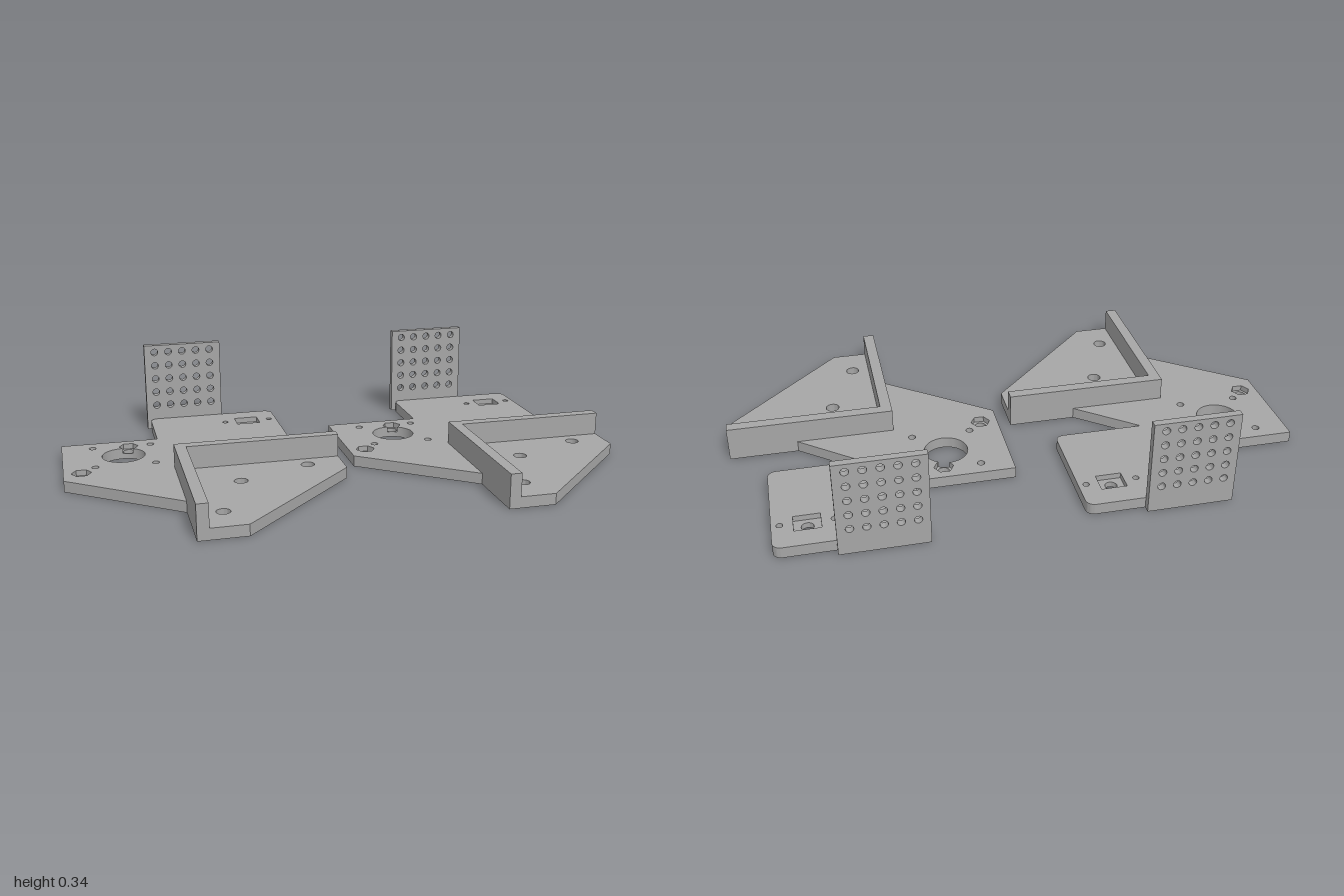
import * as THREE from 'three';
import { toCreasedNormals } from 'three/addons/utils/BufferGeometryUtils.js';

const grey = new THREE.MeshStandardMaterial({ color: 0xa6a6a6 });
grey.name = 'grey';

const THICK = 0.04, FLOOR = 0.02, WALL_TOP = 0.123;
const circle = (x, z, r) => new THREE.Path().absarc(x, z, r, 0, Math.PI * 2, false);
const poly = (pts) => new THREE.Shape(pts.map(([x, z]) => new THREE.Vector2(x, z)));
const hexPoint = (x, z, r, k) => [x + r * Math.cos(k * Math.PI / 3), z + r * Math.sin(k * Math.PI / 3)];
const hexagon = (x, z, r) => poly([0, 1, 2, 3, 4, 5].map((k) => hexPoint(x, z, r, k)));

function extrude(shape, depth) {
  return new THREE.ExtrudeGeometry(shape, { depth, bevelEnabled: false, curveSegments: 24 });
}

// Extrudes a plan shape drawn in (x, z) between two heights
function slab(name, shape, y0, y1) {
  const geo = extrude(shape, y1 - y0).rotateX(Math.PI / 2).translate(0, y1, 0);
  const mesh = new THREE.Mesh(toCreasedNormals(geo, 0.5), grey);
  mesh.name = name;
  return mesh;
}

function createBracket() {
  const bracket = new THREE.Group();

  // Base plate outline with three rounded corners
  const r = 0.03;
  const base = new THREE.Shape();
  base.moveTo(-1, -0.315);
  base.lineTo(-0.645, -0.315);
  base.absarc(-0.645 + r, -0.577 + r, r, Math.PI, Math.PI * 1.5, false);
  base.absarc(-0.155 - r, -0.577 + r, r, -Math.PI / 2, 0, false);
  base.absarc(-0.155 - r, -0.155 - r, r, 0, Math.PI / 2, false);
  base.lineTo(-0.48, -0.155);
  base.lineTo(-0.27, 0.013);
  base.lineTo(-0.028, 0.013);
  base.lineTo(-0.028, 0.178);
  base.lineTo(-0.452, 0.602);
  base.lineTo(-0.617, 0.602);
  base.lineTo(-0.617, 0.36);
  base.lineTo(-1, 0.067);
  base.closePath();

  // Plain screw holes
  for (const x of [-0.888, -0.676])
    for (const z of [-0.26, -0.048]) base.holes.push(circle(x, z, 0.013));
  for (const x of [-0.36, -0.183]) base.holes.push(circle(x, -0.462, 0.011));
  for (const [x, z] of [[-0.155, 0.112], [-0.413, 0.217], [-0.515, 0.477]])
    base.holes.push(circle(x, z, 0.024));

  // Large bore merging with the nut pocket beside it
  const [cx, cz, cr] = [-0.782, -0.155, 0.0775];
  const [hx, hz, hr] = [-0.757, -0.253, 0.035];
  const a0 = -1.0625, a1 = -1.5467;
  const outerPoints = [3, 4, 5, 6, 7].map((k) => hexPoint(hx, hz, hr, k));
  const bore = new THREE.Path().absarc(cx, cz, cr, a0, a1 + Math.PI * 2, false);
  for (const p of outerPoints) bore.lineTo(...p);
  bore.closePath();
  base.holes.push(bore);

  const boreFloor = new THREE.Shape();
  boreFloor.moveTo(...outerPoints[0]);
  for (const p of outerPoints.slice(1)) boreFloor.lineTo(...p);
  boreFloor.absarc(cx, cz, cr, a0, a1, true);
  boreFloor.closePath();
  boreFloor.holes.push(circle(hx, hz, 0.021));

  // Second nut pocket and the rectangular pocket
  const nut = hexagon(-0.938, 0, hr);
  const rect = poly([[-0.317, -0.5], [-0.227, -0.5], [-0.227, -0.424], [-0.317, -0.424]]);
  for (const pocket of [nut, rect]) base.holes.push(new THREE.Path(pocket.getPoints()));
  nut.holes.push(circle(-0.938, 0, 0.021));
  rect.holes.push(circle(-0.272, -0.462, 0.021));

  bracket.add(
    slab('basePlate', base, 0, THICK),
    slab('innerNutPocketFloor', boreFloor, 0, FLOOR),
    slab('outerNutPocketFloor', nut, 0, FLOOR),
    slab('squarePocketFloor', rect, 0, FLOOR)
  );

  // L-shaped raised wall
  bracket.add(slab('cornerWall', poly([
    [-0.617, 0.013], [-0.028, 0.013], [-0.028, 0.053],
    [-0.577, 0.053], [-0.577, 0.602], [-0.617, 0.602],
  ]), THICK, WALL_TOP));

  // Upright plate with a grid of holes
  const upright = poly([[-0.657, 0], [-0.357, 0], [-0.357, 0.343], [-0.657, 0.343]]);
  for (let i = 0; i < 5; i++)
    for (let j = 0; j < 5; j++)
      upright.holes.push(circle(-0.617 + i * 0.0545, 0.097 + j * 0.0545, 0.0135));
  const plate = new THREE.Mesh(toCreasedNormals(extrude(upright, 0.026).translate(0, 0, -0.602), 0.5), grey);
  plate.name = 'perforatedPlate';
  bracket.add(plate);
  return bracket;
}

export function createModel() {
  const model = new THREE.Group();
  model.name = 'bracketPair';
  const right = createBracket();
  right.name = 'rightBracket';
  const left = right.clone();
  left.name = 'leftBracket';
  left.position.x = 1.028;
  model.add(right, left);
  return model;
}
